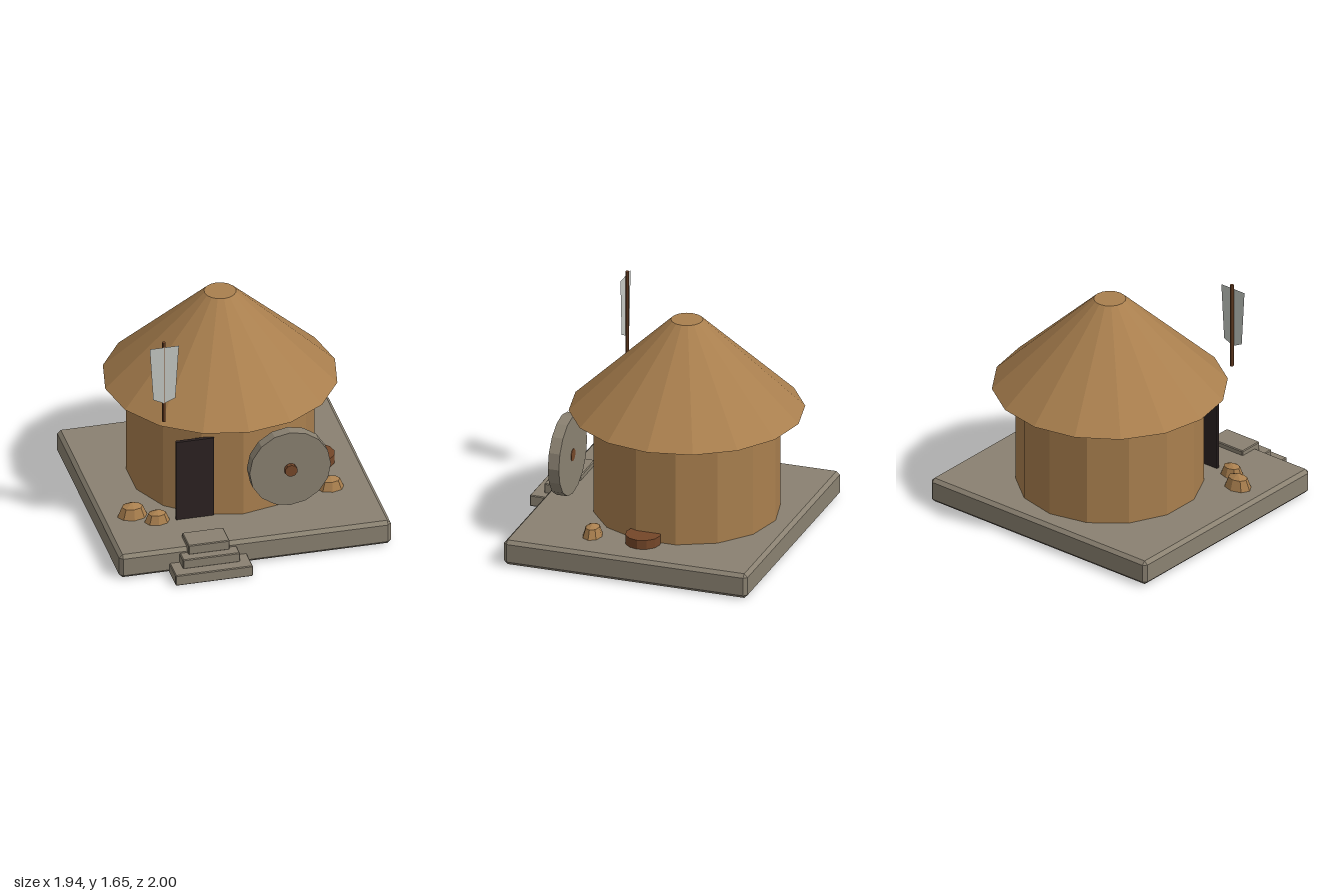
import * as THREE from 'three';
import { ConvexGeometry } from 'three/addons/geometries/ConvexGeometry.js';

const flat = (name, color, side = THREE.FrontSide) => {
  const m = new THREE.MeshStandardMaterial({ color, flatShading: true, side });
  m.name = name;
  return m;
};

export function createModel() {
  const group = new THREE.Group();
  const clay = flat('clay', 0xa97f4e);
  const stone = flat('stone', 0x8a8171);
  const wood = flat('wood', 0x754729);
  const dark = flat('darkDoor', 0x2b2121);
  const cloth = flat('cloth', 0xc5c9c3, THREE.DoubleSide);

  const add = (name, geometry, material, x, y, z) => {
    const mesh = new THREE.Mesh(geometry, material);
    mesh.name = name;
    mesh.position.set(x, y, z);
    group.add(mesh);
    return mesh;
  };

  // Box with every edge cut by a bevel b, given by its limits
  const slab = (name, [x0, x1], [y0, y1], [z0, z1], b) => {
    const h = [(x1 - x0) / 2, (y1 - y0) / 2, (z1 - z0) / 2];
    const points = [];
    for (const sx of [-1, 1]) for (const sy of [-1, 1]) for (const sz of [-1, 1]) {
      for (let full = 0; full < 3; full++) {
        const s = [sx, sy, sz].map((v, i) => v * (h[i] - (i === full ? 0 : b)));
        points.push(new THREE.Vector3(...s));
      }
    }
    add(name, new ConvexGeometry(points), stone, (x0 + x1) / 2, (y0 + y1) / 2, (z0 + z1) / 2);
  };

  // Stone platform and entrance steps
  slab('platform', [-0.97, 0.97], [0.006, 0.188], [-0.965, 0.825], 0.025);
  slab('lowerStep', [-0.615, -0.063], [0, 0.082], [0.8, 1.0], 0.006);
  slab('middleStep', [-0.543, -0.136], [0.078, 0.152], [0.74, 0.92], 0.006);
  slab('upperStep', [-0.488, -0.193], [0.148, 0.223], [0.67, 0.855], 0.006);

  // Round hut
  add('wall', new THREE.CylinderGeometry(0.652, 0.652, 0.77, 14), clay, 0, 0.565, -0.18);
  add('roof', new THREE.CylinderGeometry(0.112, 0.82, 0.67, 16), clay, 0, 1.275, -0.18);
  add('door', new THREE.BoxGeometry(0.27, 0.63, 0.026), dark, -0.335, 0.495, 0.425);

  // Stone wheel with wooden hub
  add('wheel', new THREE.CylinderGeometry(0.29, 0.29, 0.081, 16), stone, 0.295, 0.6, 0.593)
    .rotation.x = Math.PI / 2;
  add('wheelHub', new THREE.CylinderGeometry(0.045, 0.045, 0.115, 10), wood, 0.295, 0.6, 0.607)
    .rotation.x = Math.PI / 2;

  // Banner on its pole
  add('bannerPole', new THREE.CylinderGeometry(0.013, 0.013, 0.635, 8), wood, -0.565, 1.328, 0.462);
  const banner = new THREE.Shape([
    [-0.103, 1.61], [-0.078, 1.2], [0, 1.16], [0.08, 1.195], [0.105, 1.61],
  ].map(([x, y]) => new THREE.Vector2(x, y)));
  add('banner', new THREE.ShapeGeometry(banner), cloth, -0.565, 0, 0.474);

  // Wooden block against the wall
  add('woodBlock', new THREE.CylinderGeometry(0.125, 0.125, 0.07, 12), wood, 0.67, 0.22, -0.098);

  // Mounds on the platform
  for (const [x, z, r] of [[-0.75, 0.303, 0.106], [-0.602, 0.417, 0.09], [0.673, 0.272, 0.095]]) {
    add('mound', new THREE.SphereGeometry(r, 8, 4), clay, x, 0.188, z).scale.z = 0.73;
  }
  return group;
}
